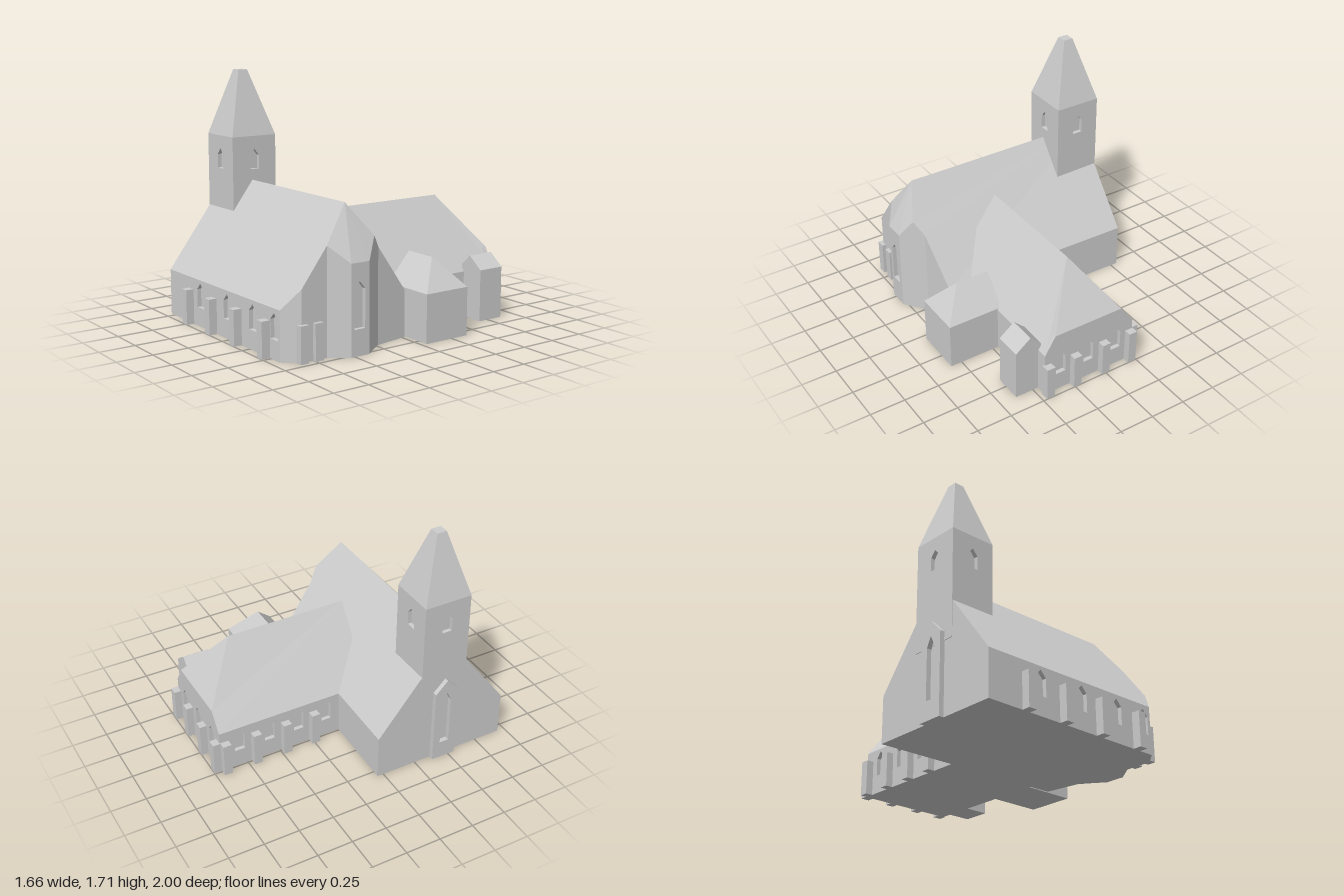
import * as THREE from 'three';

const stone = new THREE.MeshStandardMaterial({ color: 0xcccccc, side: THREE.DoubleSide });
stone.name = 'pale stone';

function add(group, name, geometry) {
  const mesh = new THREE.Mesh(geometry, stone);
  mesh.name = name;
  group.add(mesh);
  return mesh;
}

function part(parent, name) {
  const group = new THREE.Group();
  group.name = name;
  parent.add(group);
  return group;
}

// Flat face fanned from its first corner, corners counter-clockwise from outside
function face(group, name, points) {
  const pos = [];
  for (let i = 1; i < points.length - 1; i++) pos.push(...points[0], ...points[i], ...points[i + 1]);
  const g = new THREE.BufferGeometry();
  g.setAttribute('position', new THREE.Float32BufferAttribute(pos, 3));
  g.computeVertexNormals();
  return add(group, name, g);
}

// Pointed opening: centre, width, sill, shoulder, peak
function lancet([c, w, sill, shoulder, peak], PathType) {
  const p = new PathType();
  p.moveTo(c - w / 2, sill);
  p.lineTo(c + w / 2, sill);
  p.lineTo(c + w / 2, shoulder);
  p.lineTo(c, peak);
  p.lineTo(c - w / 2, shoulder);
  p.closePath();
  return p;
}

// Upright wall from plan point a to b [x, z]; tops lists [distance, height] from b back to a
function wall(group, name, a, b, tops, windows = [], bottom = 0, depth = 0.03) {
  const length = Math.hypot(b[0] - a[0], b[1] - a[1]);
  const outline = [[0, bottom], [length, bottom], ...tops].map(p => new THREE.Vector2(...p));
  const shape = new THREE.Shape(outline);
  shape.holes = windows.map(w => lancet(w, THREE.Path));
  const holder = part(group, name);
  holder.position.set(a[0], 0, a[1]);
  holder.rotation.y = -Math.atan2(b[1] - a[1], b[0] - a[0]);
  if (!windows.length) {
    add(holder, 'plainWall', new THREE.ShapeGeometry(shape));
    return;
  }
  const g = new THREE.ExtrudeGeometry(shape, { depth, bevelEnabled: false });
  add(holder, 'piercedWall', g.translate(0, 0, -depth));
  for (const w of windows) {
    const back = new THREE.ShapeGeometry(lancet(w, THREE.Shape));
    add(holder, 'windowBack', back.translate(0, 0, -depth + 0.001));
  }
}

function box(group, name, x0, x1, y0, y1, z0, z1) {
  const g = new THREE.BoxGeometry(x1 - x0, y1 - y0, z1 - z0);
  add(group, name, g.translate((x0 + x1) / 2, (y0 + y1) / 2, (z0 + z1) / 2));
}

function nave(root) {
  const g = part(root, 'nave');
  // Plan corners [x, z, wall height], starting at the front west corner
  const plan = [[-0.8, 0.945, 0.32], [0.6, 0.94, 0.33], [0.69, 0.84, 0.464], [0.69, 0.65, 0.713],
    [0.78, 0.53, 0.6], [0.78, 0.39, 0.6], [0.71, 0.3, 0.739], [0.66, 0.23, 0.648],
    [0.62, -0.02, 0.32], [-0.8, -0.045, 0.32]];
  const windows = {
    0: [-0.38, -0.03, 0.285, 0.535].map(x => [x + 0.8, 0.085, 0.13, 0.255, 0.3]),
    4: [[0.065, 0.085, 0.175, 0.43, 0.48]],
  };
  plan.forEach((a, i) => {
    const b = plan[(i + 1) % plan.length];
    const len = Math.hypot(b[0] - a[0], b[1] - a[1]);
    const tops = [[len, b[2]], [0, a[2]]];
    if (i === 9) tops.splice(1, 0, [0.51, 0.955]);
    wall(g, 'naveWall', a, b, tops, windows[i]);
  });
  const top = plan.map(([x, z, y]) => [x, y, z]);
  const west = [-0.8, 0.955, 0.465], east = [0.62, 0.955, 0.465];
  face(g, 'frontRoof', [west, ...top.slice(0, 4), east]);
  face(g, 'apseRoof', [east, ...top.slice(3, 7)]);
  face(g, 'backRoof', [west, east, ...top.slice(6)]);
  face(g, 'naveFloor', plan.map(([x, z]) => [x, 0, z]).reverse());
}

function wing(root) {
  const g = part(root, 'backWing');
  const L = -0.24, R = 0.46, B = -0.95, F = 0.19, eave = 0.32, ridge = 0.815, mid = 0.12;
  const win = s => [s, 0.075, 0.13, 0.255, 0.3];
  wall(g, 'wingRightWall', [R, F], [R, B], [[F - B, eave], [0, eave]]);
  wall(g, 'wingBackWall', [R, B], [L, B], [[0.7, eave], [0.6, 0.45], [0.08, 0.45], [0, eave]],
    [0.335, 0.115, -0.107].map(x => win(R - x)));
  wall(g, 'wingLeftWall', [L, B], [L, F], [[F - B, eave], [0, eave]],
    [-0.802, -0.575, -0.35, -0.135].map(z => win(z - B)));
  face(g, 'wingFrontGable', [[L, eave, F], [R, eave, F], [mid, ridge, F]]);
  face(g, 'wingLeftRoof', [[mid, ridge, F], [mid, ridge, -0.69], [-0.14, 0.45, B], [L, eave, B], [L, eave, F]]);
  face(g, 'wingRightRoof', [[mid, ridge, -0.69], [mid, ridge, F], [R, eave, F], [R, eave, B], [0.38, 0.45, B]]);
  face(g, 'wingHip', [[0.38, 0.45, B], [-0.14, 0.45, B], [mid, ridge, -0.69]]);
  face(g, 'wingFloor', [[L, 0, B], [R, 0, B], [R, 0, F], [L, 0, F]]);
}

function tower(root) {
  const g = part(root, 'tower');
  const x0 = -0.803, x1 = -0.47, z0 = 0.275, z1 = 0.62, low = 0.5, high = 1.26;
  const plan = [[x0, z1], [x1, z1], [x1, z0], [x0, z0]];
  const cap = [[-0.675, 0.485], [-0.605, 0.485], [-0.605, 0.415], [-0.675, 0.415]];
  plan.forEach((a, i) => {
    const j = (i + 1) % 4, b = plan[j];
    const len = Math.hypot(b[0] - a[0], b[1] - a[1]);
    wall(g, 'towerWall', a, b, [[len, high], [0, high]], [[len / 2, 0.075, 1.03, 1.125, 1.17]], low);
    face(g, 'spireSide', [[a[0], high, a[1]], [b[0], high, b[1]],
      [cap[j][0], 1.71, cap[j][1]], [cap[i][0], 1.71, cap[i][1]]]);
  });
  face(g, 'spireTop', cap.map(([x, z]) => [x, 1.71, z]));
}

function sideChapel(root) {
  const g = part(root, 'sideChapel');
  const x0 = 0.43, x1 = 0.83, z0 = -0.38, z1 = -0.035, h = 0.33, zm = -0.207;
  const ridgeIn = [x0, 0.525, zm], ridgeOut = [0.67, 0.525, zm];
  box(g, 'chapelWalls', x0, x1, 0, h, z0, z1);
  face(g, 'chapelFrontRoof', [[x0, h, z1], [x1, h, z1], ridgeOut, ridgeIn]);
  face(g, 'chapelHip', [[x1, h, z1], [x1, h, z0], ridgeOut]);
  face(g, 'chapelBackRoof', [[x1, h, z0], [x0, h, z0], ridgeIn, ridgeOut]);
  face(g, 'chapelInnerGable', [[x0, h, z0], [x0, h, z1], ridgeIn]);
}

export function createModel() {
  const root = new THREE.Group();
  root.name = 'church';
  nave(root);
  wing(root);
  tower(root);
  sideChapel(root);

  // Small gabled annex on the wing's right side
  const profile = [[0.44, 0], [0.63, 0], [0.63, 0.36], [0.52, 0.445], [0.44, 0.37]];
  const annex = new THREE.ExtrudeGeometry(new THREE.Shape(profile.map(p => new THREE.Vector2(...p))),
    { depth: 0.195, bevelEnabled: false });
  add(root, 'annex', annex.translate(0, 0, -0.872));

  // West doorway surround
  wall(root, 'westDoorway', [-0.835, 0.372], [-0.835, 0.55], [[0.178, 0.56], [0.089, 0.65], [0, 0.56]],
    [[0.089, 0.07, 0.13, 0.48, 0.55]], 0, 0.035);

  // Buttresses along the outer walls
  const b = part(root, 'buttresses');
  const h = 0.243, r = 0.03;
  for (const x of [-0.505, -0.195, 0.12, 0.457]) box(b, 'frontButtress', x - r, x + r, 0, h, 0.93, 1);
  for (const x of [-0.215, 0.002, 0.23, 0.442]) box(b, 'backButtress', x - r, x + r, 0, h, -1, -0.94);
  for (const z of [-0.915, -0.688, -0.46, -0.24]) box(b, 'leftButtress', -0.292, -0.23, 0, h, z - r, z + r);
  for (const z of [0.725, 0.835]) box(b, 'rightButtress', 0.67, 0.718, 0, h, z - r, z + r);
  return root;
}
